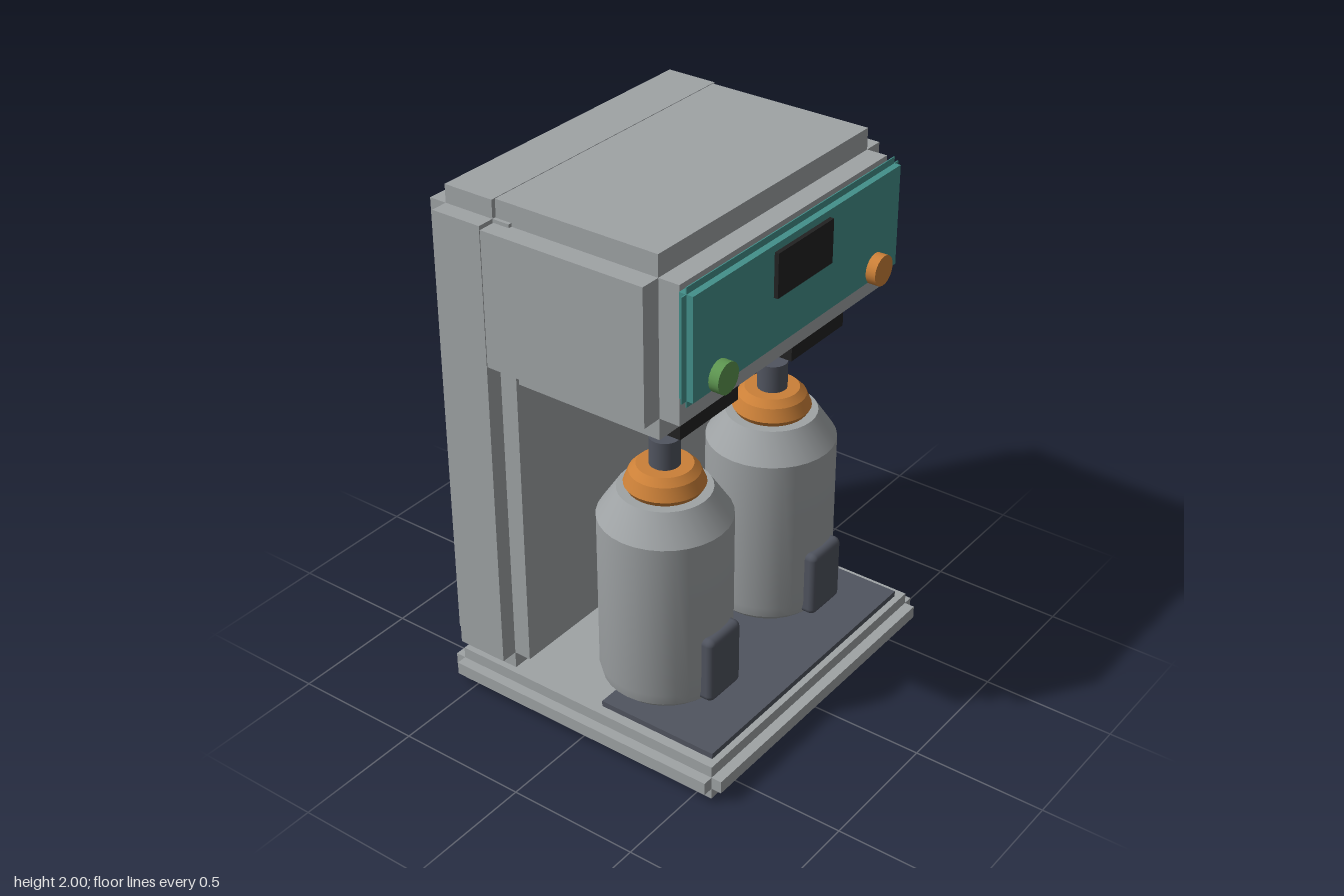
import * as THREE from 'three';
import { RoundedBoxGeometry } from 'three/addons/geometries/RoundedBoxGeometry.js';
import { toCreasedNormals } from 'three/addons/utils/BufferGeometryUtils.js';

const mat = (name, color) => new THREE.MeshStandardMaterial({ name, color });

export function createModel() {
  const grey = mat('brushed grey', 0x9fa3a5);
  const slate = mat('slate', 0x50545f);
  const black = mat('black', 0x222222);
  const teal = mat('teal', 0x43908b);
  const orange = mat('orange', 0xcb8038);
  const green = mat('green', 0x5d9550);

  const model = new THREE.Group();
  model.name = 'drinkDispenser';

  const add = (parent, name, geometry, material, x = 0, y = 0, z = 0) => {
    const mesh = new THREE.Mesh(geometry, material);
    mesh.name = name;
    mesh.position.set(x, y, z);
    parent.add(mesh);
    return mesh;
  };
  // Box between limits: half width about x = 0, y range, z range
  const block = (parent, name, material, hw, y0, y1, z0, z1, x = 0) =>
    add(parent, name, new THREE.BoxGeometry(2 * hw, y1 - y0, z1 - z0), material,
      x, (y0 + y1) / 2, (z0 + z1) / 2);

  // Stepped-edge block: three boxes, each full size along one axis only
  const steppedBlock = (name, material, hw, y0, y1, z0, z1, sx, sy, sz) => {
    const group = new THREE.Group();
    group.name = name;
    block(group, name + 'Wide', material, hw, y0 + sy, y1 - sy, z0 + sz, z1 - sz);
    block(group, name + 'Tall', material, hw - sx, y0, y1, z0 + sz, z1 - sz);
    block(group, name + 'Deep', material, hw - sx, y0 + sy, y1 - sy, z0, z1);
    model.add(group);
  };

  // Housing
  steppedBlock('base', grey, 0.665, 0, 0.137, -0.6, 0.6, 0.04, 0.044, 0.04);
  steppedBlock('column', grey, 0.665, 0.137, 2, -0.6, -0.265, 0.065, 0.067, 0.068);
  steppedBlock('head', grey, 0.665, 1.34, 2, -0.41, 0.4, 0.078, 0.08, 0.08);
  steppedBlock('controlPanel', teal, 0.615, 1.5, 1.922, 0.4, 0.454, 0.025, 0.024, 0.025);

  // Drip tray and display
  block(model, 'dripTray', slate, 0.587, 0.135, 0.159, 0.055, 0.535);
  block(model, 'display', black, 0.158, 1.71, 1.872, 0.45, 0.47);

  // Knobs
  [['leftKnob', 0.452, orange], ['rightKnob', -0.455, green]].forEach(([name, x, m]) => {
    add(model, name, new THREE.CylinderGeometry(0.056, 0.056, 0.044, 24), m, x, 1.565, 0.47)
      .rotation.x = Math.PI / 2;
  });

  const lathe = (points) => toCreasedNormals(
    new THREE.LatheGeometry(points.map(([r, y]) => new THREE.Vector2(r, y)), 32), 0.35);

  // Outlets with a bottle under each
  for (const [side, x] of [['left', 0.318], ['right', -0.318]]) {
    block(model, side + 'Outlet', black, 0.16, 1.285, 1.345, 0.03, 0.32, x);

    const bottle = new THREE.Group();
    bottle.name = side + 'Bottle';
    bottle.position.set(x, 0, 0.135);
    model.add(bottle);
    add(bottle, 'bottleBody', lathe([
      [0, 0.159], [0.195, 0.159], [0.228, 0.19], [0.239, 0.235], [0.239, 0.85],
      [0.168, 0.958], [0, 0.958]]), grey);
    add(bottle, 'collar', lathe([
      [0, 0.955], [0.13, 0.955], [0.144, 0.978], [0.125, 1.025], [0.1, 1.05], [0, 1.05]]), orange);
    add(bottle, 'cap', new THREE.CylinderGeometry(0.055, 0.055, 0.115, 24), slate, 0, 1.098, 0);
    add(bottle, 'frontGrip', new RoundedBoxGeometry(0.18, 0.265, 0.08, 3, 0.025), slate,
      0, 0.323, 0.226);
  }
  return model;
}
